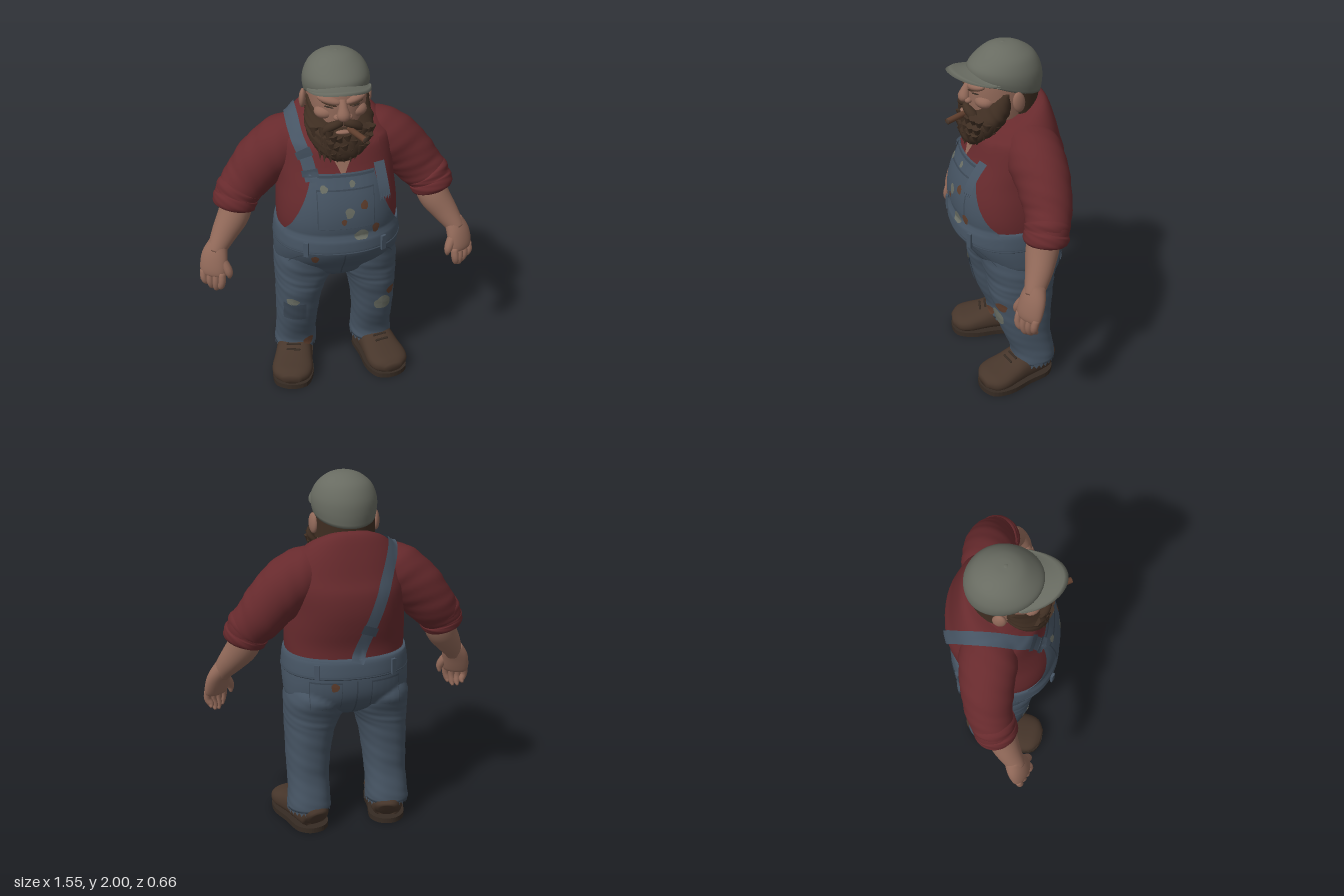
import * as THREE from 'three';

const V = (x, y, z) => new THREE.Vector3(x, y, z);

export function createModel() {
  const model = new THREE.Group();
  const mat = (name, color) => new THREE.MeshStandardMaterial({ name, color, side: THREE.DoubleSide });
  const skin = mat('skin', 0x916959), hair = mat('hair', 0x3f2e22), capCloth = mat('capCloth', 0x686b61);
  const shirt = mat('shirt', 0x672a2d), denim = mat('denim', 0x465463), darkDenim = mat('darkDenim', 0x3b4754);
  const leather = mat('leather', 0x47362b), soleDark = mat('soleDark', 0x362b23);
  const rust = mat('rust', 0x5f3e2d), greyPatch = mat('greyPatch', 0x6b6f65);

  const add = (name, geo, m, parent = model) => {
    const mesh = new THREE.Mesh(geo, m);
    mesh.name = name;
    parent.add(mesh);
    return mesh;
  };
  const build = (pos, idx) => {
    const g = new THREE.BufferGeometry();
    g.setAttribute('position', new THREE.Float32BufferAttribute(pos, 3));
    g.setIndex(idx);
    g.computeVertexNormals();
    return g;
  };
  // Horizontal cross-section given by its front and back
  const ring = (y, rx, zf, zb, cx = 0, tilt = 0) => [cx, y, (zf + zb) / 2, rx, (zf - zb) / 2, tilt];

  // Smooth body through rows [x, y, z, radiusA, radiusB, tilt]; ref turns the rings to follow the path
  function loft(rows, { ref = null, n = 32, k = 4, e = 1, wrinkle = 0, waves = 3 } = {}) {
    const flat = rows.flatMap(r => [...r, 0].slice(0, 6));
    const spline = new THREE.CubicInterpolant(rows.map((_, i) => i), flat, 6, new Float32Array(6));
    const at = t => Array.from(spline.evaluate(Math.min(Math.max(t, 0), rows.length - 1)));
    const pos = [], idx = [], m = (rows.length - 1) * k;
    const pw = c => Math.sign(c) * Math.abs(c) ** e;
    for (let i = 0; i <= m; i++) {
      const r = at(i / k), a = at(i / k - 0.2), b = at(i / k + 0.2);
      const t = ref ? V(b[0] - a[0], b[1] - a[1], b[2] - a[2]).normalize()
        : V(0, Math.sign(rows[rows.length - 1][1] - rows[0][1]), 0);
      const u = (ref || V(1, 0, 0)).clone();
      u.addScaledVector(t, -u.dot(t)).normalize();
      const v = t.clone().cross(u);
      for (let j = 0; j < n; j++) {
        const q = j / n * Math.PI * 2, s = pw(Math.sin(q));
        const w = 1 + wrinkle * Math.sin(i * 1.35 + waves * q) * Math.cos(2 * q + i * 0.4);
        const p = V(r[0], r[1], r[2]).addScaledVector(u, r[3] * w * pw(Math.cos(q))).addScaledVector(v, r[4] * w * s);
        if (!ref) p.y += r[5] * v.z * s;
        pos.push(p.x, p.y, p.z);
        const j2 = (j + 1) % n, o = i * n;
        if (i < m) idx.push(o + j, o + j2, o + n + j, o + j2, o + n + j2, o + n + j);
      }
    }
    const c = pos.length / 3;
    pos.push(...rows[0].slice(0, 3), ...rows[rows.length - 1].slice(0, 3));
    for (let j = 0; j < n; j++) {
      const j2 = (j + 1) % n;
      idx.push(c, j2, j, c + 1, m * n + j, m * n + j2);
    }
    return build(pos, idx);
  }
  // Open surface from a rule f(u, v)
  function sheet(f, nu, nv) {
    const pos = [], idx = [];
    for (let i = 0; i <= nu; i++) for (let j = 0; j <= nv; j++) {
      pos.push(...f(i / nu, j / nv).toArray());
      const a = i * (nv + 1) + j, b = a + nv + 1;
      if (i < nu && j < nv) idx.push(a, b, a + 1, b, b + 1, a + 1);
    }
    return build(pos, idx);
  }
  const ball = (name, m, p, s, rot = [0, 0, 0]) => {
    const b = add(name, new THREE.SphereGeometry(1, 20, 14), m);
    b.position.set(...p); b.scale.set(...s); b.rotation.set(...rot);
  };

  // Torso, hips and legs
  const targets = [];
  const solid = (name, geo, m) => targets.push(add(name, geo, m));
  solid('shirtBody', loft([ring(1.0, .325, .25, -.27), ring(1.1, .33, .268, -.275), ring(1.2, .325, .265, -.3),
    ring(1.3, .315, .24, -.318), ring(1.4, .315, .195, -.316), ring(1.5, .305, .155, -.29, 0, .02),
    ring(1.57, .275, .13, -.258, 0, -.03), ring(1.628, .21, .115, -.22, 0, -.07), ring(1.648, .13, .09, -.17, 0, -.07)],
  { n: 48, e: .88 }), shirt);
  solid('hips', loft([ring(1.045, .338, .275, -.293), ring(.95, .348, .278, -.305), ring(.86, .348, .235, -.298),
    ring(.79, .335, .178, -.27), ring(.73, .26, .14, -.22), ring(.685, .13, .09, -.15)], { n: 48, e: .9 }), denim);
  for (const s of [1, -1]) {
    solid('trouserLeg', loft([[.9, .13, .19, -.22, .18], [.8, .166, .176, -.268, .178], [.72, .17, .158, -.242, .178],
      [.66, .154, .15, -.228, .193], [.6, .14, .143, -.22, .205], [.5, .128, .118, -.21, .216], [.4, .121, .097, -.205, .222],
      [.3, .116, .062, -.205, .225], [.2, .118, .024, -.225, .227], [.13, .124, .028, -.232, .229]]
      .map(r => ring(...r.slice(0, 4), s * r[4])), { e: .88, wrinkle: .012, k: 5 }), denim);
    add('frayedHem', sheet((u, v) => {
      const a = u * Math.PI * 2, zig = Math.round(u * 56) % 2 ? .035 : .012;
      return V(s * .229 + .124 * Math.cos(a), .14 - v * zig, -.102 + .13 * Math.sin(a));
    }, 56, 1), denim);
  }

  // Sleeves, rolled cuffs, forearms and hands
  for (const s of [1, -1]) {
    const limb = (name, rows, m, opt) => add(name, loft(rows.map(([x, ...r]) => [s * x, ...r]), opt), m);
    const depth = V(0, 0, 1);
    targets.push(limb('sleeve', [[.13, 1.53, -.08, .12, .108], [.26, 1.465, -.085, .15, .15], [.38, 1.37, -.09, .14, .147],
      [.47, 1.265, -.083, .125, .133], [.535, 1.19, -.062, .11, .118], [.55, 1.155, -.052, .1, .108]],
    shirt, { ref: depth, wrinkle: .022, k: 6 }));
    limb('rolledCuff', [[.513, 1.225, -.064, .1, .105], [.523, 1.21, -.061, .118, .124], [.538, 1.178, -.054, .112, .116],
      [.544, 1.163, -.05, .118, .122], [.557, 1.128, -.042, .113, .117], [.562, 1.112, -.039, .09, .094]],
    shirt, { ref: depth, wrinkle: .02, waves: 4 });
    limb('forearm', [[.53, 1.17, -.05, .08, .085], [.56, 1.08, -.022, .085, .087], [.613, 1.0, .012, .072, .073],
      [.66, .93, .05, .056, .056], [.675, .9, .065, .05, .05]], skin, { ref: depth });
    const across = V(-.87 * s, 0, .5);
    limb('palm', [[.658, .95, .045, .052, .048], [.684, .885, .07, .074, .047], [.697, .82, .09, .078, .041],
      [.703, .78, .098, .069, .031], [.704, .77, .1, .044, .014]], skin, { ref: across });
    [.08, .102, .108, .09].forEach((len, i) => {
      const d = (i - 1.5) * .036, x = .702 - .87 * d, z = .1 + .5 * d, tx = x - (x - .7) * .25;
      limb('finger', [[x, .8, z, .02, .022], [x + .003, .785 - len * .4, z + .012, .02, .022],
        [tx, .785 - len * .8, z + .004, .018, .018], [tx, .785 - len, z - .012, .007, .008]],
      skin, { ref: across, n: 12, k: 3 });
    });
    limb('thumb', [[.667, .89, .088, .025, .027], [.633, .838, .115, .026, .026], [.617, .797, .13, .022, .022],
      [.615, .761, .125, .008, .008]], skin, { ref: depth, n: 12, k: 3 });
  }

  // Projection onto the clothing, used by everything sewn on
  const ray = new THREE.Raycaster();
  function onto(from, dir, off, list = targets) {
    ray.set(from, dir);
    const hit = ray.intersectObjects(list, false)[0];
    return hit ? hit.point.addScaledVector(dir, -off) : null;
  }
  function drape(x, y, side, off) {
    for (let q = x, i = 0; i < 12; i++, q *= .97) {
      const p = onto(V(q, y, side), V(0, 0, -side), off);
      if (p) return V(x, y, p.z);
    }
    return V(x, y, 0);
  }
  const plate = (name, m, x, y, rx, ry, side = 1, off = .006) => add(name, sheet((u, v) =>
    drape(x + (u - .5) * 2 * rx, y + (v - .5) * 2 * ry, side, off), 14, 10), m);
  const blot = (m, x, y, rx, ry, side = 1) => add('stain', sheet((u, v) => {
    const a = u * Math.PI * 2, r = v * (1 + .08 * Math.sin(3 * a + x * 40) + .04 * Math.sin(5 * a));
    return drape(x + rx * r * Math.cos(a), y + ry * r * Math.sin(a), side, .01);
  }, 24, 3), m);

  // Chest opening and pointed collar flaps
  add('chestSkin', sheet((u, v) => drape((u - .5) * .15 * v, 1.37 + v * .16, 1, .006), 8, 8), skin);
  for (const s of [1, -1]) add('collarFlap', sheet((u, v) => drape(
    s * (.07 + .13 * u + .012 * v), 1.53 + .05 * u - v * (.1 + .02 * Math.sin(u * Math.PI)), 1, .012), 8, 8), shirt);

  // Bib with pocket
  const bibW = y => .168 + .165 * Math.pow((1.4 - y) / .4, 1.35);
  const bib = add('bib', sheet((u, v) => {
    const y = .97 + v * .43;
    return drape((u * 2 - 1) * Math.min(bibW(y), .33), y, 1, .016);
  }, 36, 22), denim);
  targets.push(bib);
  plate('bibHem', darkDenim, 0, 1.388, .165, .006);
  plate('bibPocket', darkDenim, .005, 1.215, .153, .11);
  plate('bibPocketFront', denim, .005, 1.213, .149, .105, 1, .009);

  // Waistband, belt loops, fly and pockets
  add('waistband', loft([ring(.945, .348, .28, -.306), ring(.955, .35, .283, -.308), ring(1.0, .346, .281, -.303),
    ring(1.03, .341, .277, -.297), ring(1.045, .332, .265, -.285)], { n: 48, e: .9, k: 2 }), denim);
  add('waistSeam', loft([ring(.937, .348, .276, -.304), ring(.943, .353, .29, -.311), ring(.949, .348, .28, -.306)],
    { n: 48, e: .9, k: 2 }), darkDenim);
  for (const side of [1, -1]) for (const x of [-.21, .21]) {
    const p = drape(x, .98, side, .01);
    const loop = add('beltLoop', new THREE.BoxGeometry(.028, .085, .014), denim);
    loop.position.copy(p);
    loop.rotation.y = side * Math.sign(x) * .5;
  }
  plate('fly', darkDenim, 0, .83, .004, .1);
  plate('backSeam', darkDenim, 0, .82, .004, .11, -1);
  for (const s of [1, -1]) {
    plate('backPocket', darkDenim, s * .165, .845, .085, .08, -1);
    plate('backPocketFront', denim, s * .165, .842, .081, .075, -1, .009);
    add('frontPocketSeam', sheet((u, v) =>
      drape(s * (.2 + u * .09), .93 - u * u * .09 - v * .008, 1, .007), 10, 1), darkDenim);
  }
  plate('kneePatch', darkDenim, -.255, .465, .062, .06, 1, .01);

  // Stains and worn spots
  [[-.11, 1.33, .02, .02], [.02, 1.2, .024, .03], [.085, 1.06, .04, .03], [.25, .47, .05, .05], [-.27, .545, .035, .025],
    [.04, 1.35, .015, .018]].forEach(b => blot(greyPatch, ...b));
  [[.1, 1.235, .02, .025], [.165, 1.085, .02, .03], [-.01, 1.15, .014, .018], [-.16, .9, .02, .028], [.295, .555, .025, .03],
    [-.17, .18, .03, .03], [.12, .9, .022, .025, -1]].forEach(b => blot(rust, ...b));

  // Shoulder strap running over one shoulder and across the back
  const path = new THREE.CatmullRomCurve3([V(-.165, 1.36, .2), V(-.195, 1.48, .18), V(-.235, 1.59, .1), V(-.24, 1.65, -.03),
    V(-.22, 1.62, -.16), V(-.165, 1.48, -.28), V(-.08, 1.25, -.32), V(0, 1.03, -.3)]);
  const strapPoint = (u, v, w, off) => {
    const p = path.getPoint(u);
    const C = V(p.x * .6, Math.min(p.y, 1.4), -.08);
    const N = p.clone().sub(C).normalize();
    const q = p.addScaledVector(path.getTangent(u).cross(N).normalize(), (v - .5) * w);
    return onto(q.clone().addScaledVector(N, .4), N.clone().negate(), off) || q;
  };
  add('strap', sheet((u, v) => strapPoint(u, v, .07, .012), 60, 4), denim);
  for (const [a, b] of [[.03, .07], [.15, .2], [.87, .9]])
    add('strapBuckle', sheet((u, v) => strapPoint(a + u * (b - a), v, .088, .019), 4, 4), darkDenim);

  // Torn strap end hanging forward from the bib
  add('tornStrap', sheet((u, v) => {
    const fray = v === 1 ? (Math.round(u * 8) % 2) * .025 : 0;
    return V(.165 + u * .06 + v * .02, 1.43 - v * .18 + fray, .18 + .095 * Math.sin(v * 1.5) - u * .02);
  }, 8, 8), denim);

  // Collar around the neck, open at the front
  add('collar', sheet((u, v) => {
    const a = Math.PI / 2 + .3 + u * (Math.PI * 2 - .6), f = Math.sin(a), front = Math.max(0, f) ** 2;
    return V((.155 + v * .065) * Math.cos(a), 1.648 - .055 * f - v * (.035 + .075 * front),
      -.04 + (.15 + v * .04) * f);
  }, 48, 4), shirt);

  // Head and face
  add('head', loft([ring(1.48, .09, .1, -.1), ring(1.58, .125, .14, -.14), ring(1.65, .142, .185, -.16),
    ring(1.72, .152, .192, -.172), ring(1.8, .155, .188, -.185), ring(1.87, .15, .17, -.18)]), skin);
  add('backHair', sheet((u, v) => {
    const a = Math.PI * (1.02 + .96 * u);
    return V(.163 * Math.cos(a), 1.66 + v * .17, -.02 + (.16 + .02 * v) * Math.sin(a));
  }, 32, 4), hair);
  add('nose', loft([[0, 1.8, .175, .02, .02], [0, 1.765, .195, .024, .024], [0, 1.725, .208, .036, .032],
    [0, 1.703, .205, .022, .018]], { ref: V(1, 0, 0), n: 16 }), skin);
  for (const s of [1, -1]) {
    ball('nostril', skin, [s * .03, 1.714, .194], [.02, .016, .02]);
    ball('cheek', skin, [s * .075, 1.722, .118], [.062, .04, .056]);
    ball('browRidge', skin, [s * .065, 1.8, .163], [.065, .022, .03], [0, s * .35, s * .22]);
    ball('eyebrow', hair, [s * .07, 1.785, .18], [.042, .005, .014], [0, s * .4, s * .25]);
    ball('eye', soleDark, [s * .068, 1.764, .17], [.026, .004, .008], [0, s * .4, s * .1]);
    ball('ear', skin, [s * .17, 1.732, -.03], [.02, .055, .036], [.15, s * .3, 0]);
    add('moustache', loft([[s * .004, 1.685, .2, .012, .016], [s * .04, 1.68, .208, .021, .022], [s * .08, 1.655, .19, .026, .022],
      [s * .115, 1.605, .165, .012, .012]], { ref: V(0, 0, 1), n: 14 }), hair);
  }

  // Beard with uneven downward tufts, lip and cigar
  const beard = add('beard', loft([ring(1.462, .05, .2, .13), ring(1.5, .11, .23, .08), ring(1.56, .155, .235, .02),
    ring(1.62, .176, .218, -.02), ring(1.665, .178, .18, -.035), ring(1.72, .168, .14, -.045), ring(1.775, .159, .09, -.045)],
  { n: 44, wrinkle: .035, waves: 9 }), hair);
  for (let i = 0; i < 33; i++) {
    const row = i % 3, wild = Math.sin(i * 12.9);
    const a = (Math.floor(i / 3) / 10 - .5) * 2.7 + row * .1 + wild * .06;
    const dir = V(-Math.sin(a), 0, -Math.cos(a));
    const p = onto(V(0, 1.505 + row * .045 + wild * .012, .09).addScaledVector(dir, -1), dir, -.012, [beard]);
    if (!p) continue;
    const tuft = add('beardTuft', new THREE.ConeGeometry(.026, .08 + wild * .02, 7), hair);
    tuft.position.copy(p);
    tuft.rotation.set(Math.PI - .12, -a, wild * .35, 'YXZ');
  }
  ball('lowerLip', skin, [0, 1.637, .21], [.042, .011, .016]);
  const cigar = new THREE.LineCurve3(V(.03, 1.648, .2), V(.088, 1.641, .325));
  add('cigar', new THREE.TubeGeometry(cigar, 2, .016, 12), rust);
  ball('cigarTip', leather, [.088, 1.641, .323], [.0155, .0155, .006], [0, .43, 0]);

  // Cap with arched brim
  add('capCrown', loft([ring(1.785, .166, .183, -.2, 0, .058), ring(1.83, .174, .187, -.207, 0, .035), ring(1.88, .169, .178, -.2, 0, .015),
    ring(1.935, .142, .14, -.165), ring(1.975, .095, .09, -.11), ring(1.993, .05, .045, -.06), ring(1.998, .008, .01, -.01)],
  { n: 40 }), capCloth);
  ball('capButton', capCloth, [0, 1.994, 0], [.014, .006, .014]);
  add('capBrim', sheet((u, v) => {
    const out = 1 - Math.abs(2 * v - 1), a = (u - .5) * 2.7, x = (.163 + .008 * out) * Math.sin(a);
    return V(x, 1.862 + (v < .5 ? .012 : 0) + .014 * out * out - .05 * (x / .165) ** 2, .03 + (.14 + .127 * out) * Math.cos(a));
  }, 28, 12), capCloth);

  // Work shoes turned slightly outward
  const half = [[0, .236], [.088, .205], [.12, .11], [.105, -.03], [.095, -.16], [.05, -.214]];
  const outline = [...half, [0, -.226], ...half.slice(1).reverse().map(([x, z]) => [-x, z])];
  const soleShape = new THREE.Shape(new THREE.CatmullRomCurve3(outline.map(([x, z]) => V(x, z, 0)), true)
    .getPoints(48).slice(0, -1).map(p => new THREE.Vector2(p.x, p.y)));
  for (const s of [1, -1]) {
    const shoe = new THREE.Group();
    shoe.name = 'shoe';
    shoe.position.set(s * .253, 0, 0);
    shoe.rotation.y = s * .23;
    model.add(shoe);
    const sole = new THREE.ExtrudeGeometry(soleShape, { depth: .03, bevelEnabled: false });
    sole.rotateX(Math.PI / 2).translate(0, .03, 0);
    add('sole', sole, soleDark, shoe);
    add('shoeUpper', loft([[0, .08, -.218, .045, .05], [0, .095, -.19, .083, .075], [0, .105, -.1, .1, .085],
      [0, .1, -.02, .104, .082], [0, .085, .05, .111, .068], [0, .072, .13, .119, .058], [0, .066, .19, .101, .049],
      [0, .06, .23, .047, .026]], { ref: V(1, 0, 0), e: .82 }), leather, shoe);
    for (let i = 0; i < 3; i++) {
      const lace = add('lace', new THREE.CapsuleGeometry(.007, .07, 3, 8), soleDark, shoe);
      lace.position.set(0, .18 - i * .014, -.005 + i * .032);
      lace.rotation.z = Math.PI / 2;
    }
  }
  return model;
}
